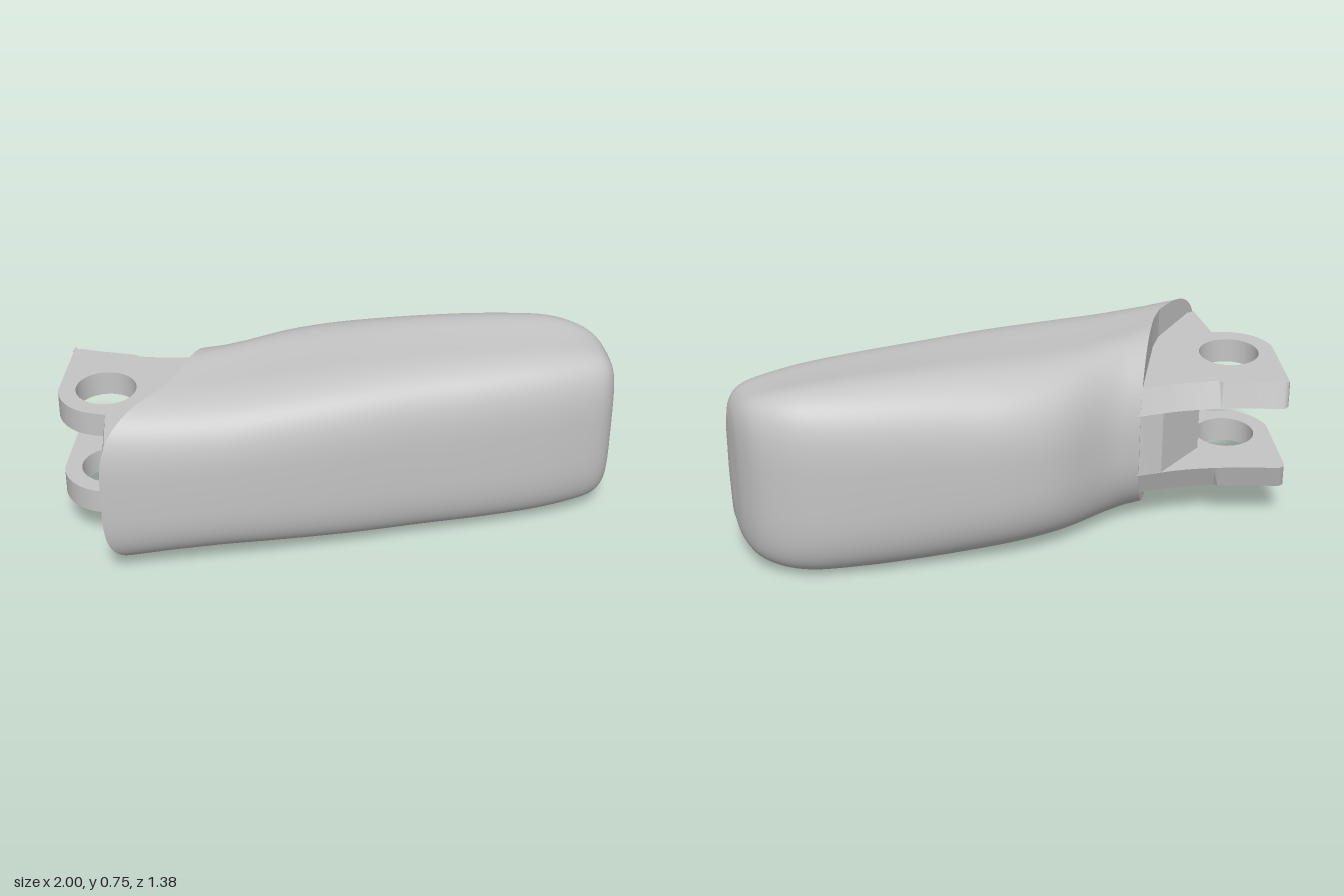
import * as THREE from 'three';
import { toCreasedNormals } from 'three/addons/utils/BufferGeometryUtils.js';

const MID = 0.385; // mid height of the whole part
const RING = 72, STEPS = 55;
const PIN = { x: -0.76, z: 0.29 };

const grey = new THREE.MeshStandardMaterial({ color: 0xc4c4c4 });
grey.name = 'plain grey';

// Stations along the body: front x,z, back x,z, half height, squareness of the back half
const stations = [
  [-0.6, 0.69, -0.47, -0.12, 0.362, 2.5],
  [-0.42, 0.595, -0.36, -0.19, 0.359, 2.6],
  [-0.25, 0.5, -0.21, -0.35, 0.361, 2.8],
  [-0.1, 0.41, -0.05, -0.45, 0.368, 3],
  [0.15, 0.245, 0.15, -0.53, 0.38, 3.1],
  [0.4, 0.07, 0.35, -0.605, 0.384, 3.2],
  [0.6, -0.06, 0.5, -0.655, 0.382, 3.3],
  [0.8, -0.2, 0.62, -0.685, 0.375, 3.4],
  [0.92, -0.3, 0.72, -0.69, 0.355, 3.5],
  [0.98, -0.365, 0.82, -0.67, 0.32, 3.5],
  [0.998, -0.42, 0.9, -0.615, 0.265, 3.5],
  [0.991, -0.475, 0.945, -0.56, 0.2, 3.2],
];
const spline = (a, b) => new THREE.CatmullRomCurve3(
  stations.map((s) => new THREE.Vector3(s[a], s[b], 0)), false, 'catmullrom', 0.5);
const frontCurve = spline(0, 1), backCurve = spline(2, 3), sizeCurve = spline(4, 5);

// One rounded-box cross-section, lower over its front half than over the pad;
// the first ones bend to the cut at the joint
function section(t) {
  const f = frontCurve.getPoint(t), b = backCurve.getPoint(t), s = sizeCurve.getPoint(t);
  const fade = Math.max(0, 1 - t * (stations.length - 1));
  const drop = 0.07 * (1 - THREE.MathUtils.smoothstep(t, 0.65, 0.95));
  const points = [];
  for (let i = 0; i < RING; i++) {
    const a = (i / RING) * Math.PI * 2;
    const square = Math.cos(a) > 0 ? 3.4 : s.y;
    const power = (v) => Math.sign(v) * Math.pow(Math.abs(v), 2 / square);
    const k = (power(Math.cos(a)) + 1) / 2;
    const height = s.x * (1 - drop * THREE.MathUtils.smoothstep(k, 0.2, 0.6));
    const z = b.y + (f.y - b.y) * k;
    const chordX = -0.47 - 0.13 * k, chordZ = -0.12 + 0.81 * k;
    const cutX = -0.47 - Math.max(0, chordZ - 0.35) * 0.382;
    const x = b.x + (f.x - b.x) * k + (cutX - chordX) * fade;
    points.push([x, MID + height * power(Math.sin(a)), z]);
  }
  return points;
}

function buildGeometry(positions, index) {
  const geometry = new THREE.BufferGeometry();
  geometry.setAttribute('position', new THREE.Float32BufferAttribute(positions.flat(), 3));
  geometry.setIndex(index);
  geometry.computeVertexNormals();
  return geometry;
}

// Smooth skin from the joint to the closed tip
function bodySkin() {
  const positions = [], index = [];
  for (let s = 0; s <= STEPS; s++) positions.push(...section(s / STEPS));
  for (let s = 0; s < STEPS; s++) {
    for (let i = 0; i < RING; i++) {
      const j = (i + 1) % RING, p = s * RING, q = p + RING;
      index.push(p + i, q + i, p + j, q + i, q + j, p + j);
    }
  }
  const centre = positions.push([0.976, MID, -0.521]) - 1;
  for (let i = 0; i < RING; i++) {
    index.push(centre, STEPS * RING + ((i + 1) % RING), STEPS * RING + i);
  }
  return buildGeometry(positions, index);
}

// Bent flat face that closes the body behind the lugs
function jointFace() {
  const ring = section(0), index = [];
  for (let i = 0; i < RING / 2; i++) {
    const low = (RING - i) % RING, nextLow = RING - i - 1;
    index.push(i, i + 1, low, i + 1, nextLow, low);
  }
  return toCreasedNormals(buildGeometry(ring, index), 0.2);
}

// Extrude an x,z outline between two heights
function plate(shape, low, high) {
  const geometry = new THREE.ExtrudeGeometry(shape, {
    depth: high - low, bevelEnabled: false, curveSegments: 24,
  });
  geometry.rotateX(Math.PI / 2);
  geometry.translate(0, high, 0);
  return geometry;
}

// Hinge lug with pin hole; its back edge slopes in away from mid height
function lug(low, high) {
  const shape = new THREE.Shape();
  shape.moveTo(-0.597, 0.675);
  shape.lineTo(-0.682, 0.457);
  shape.lineTo(-0.73, 0.465);
  shape.absarc(PIN.x, PIN.z, 0.178, 1.4, 2.68, false);
  shape.lineTo(-1, 0.075);
  shape.quadraticCurveTo(-1.002, 0.04, -0.975, 0.036);
  shape.quadraticCurveTo(-0.74, 0.012, -0.58, -0.056);
  shape.lineTo(-0.46, -0.115);
  shape.lineTo(-0.4, -0.1);
  shape.lineTo(-0.4, 0.35);
  shape.lineTo(-0.555, 0.64);
  shape.closePath();
  const hole = new THREE.Path();
  hole.absarc(PIN.x, PIN.z, 0.113, 0, Math.PI * 2, true);
  shape.holes.push(hole);

  const geometry = plate(shape, low, high);
  const pos = geometry.attributes.position;
  for (let i = 0; i < pos.count; i++) {
    const z = pos.getZ(i);
    const away = Math.abs(pos.getY(i) - MID) > 0.18 ? 1 : 0;
    if (z < 0.06) pos.setZ(i, z + (z < 0 ? 0.042 : 0.03) * away);
    if (z > 0.63) pos.setZ(i, z - 0.035 * away);
  }
  return toCreasedNormals(geometry, 0.5);
}

// Filling between the lugs: slanting back wall, hollowed towards the pin
function slotWall() {
  const shape = new THREE.Shape();
  shape.moveTo(-0.4, -0.12);
  shape.lineTo(-0.4, 0.36);
  shape.lineTo(-0.47, 0.36);
  shape.lineTo(PIN.x + 0.17, PIN.z);
  shape.absarc(PIN.x, PIN.z, 0.17, 0, -1.0, true);
  shape.lineTo(-0.55, -0.068);
  shape.lineTo(-0.46, -0.115);
  shape.closePath();
  return toCreasedNormals(plate(shape, 0.26, 0.51), 0.5);
}

export function createModel() {
  const group = new THREE.Group();
  group.name = 'fingertipSegment';
  const add = (name, geometry) => {
    const mesh = new THREE.Mesh(geometry, grey);
    mesh.name = name;
    group.add(mesh);
  };
  add('body', bodySkin());
  add('jointFace', jointFace());
  add('lowerLug', lug(0.165, 0.26));
  add('upperLug', lug(0.51, 0.605));
  add('slotWall', slotWall());
  return group;
}
